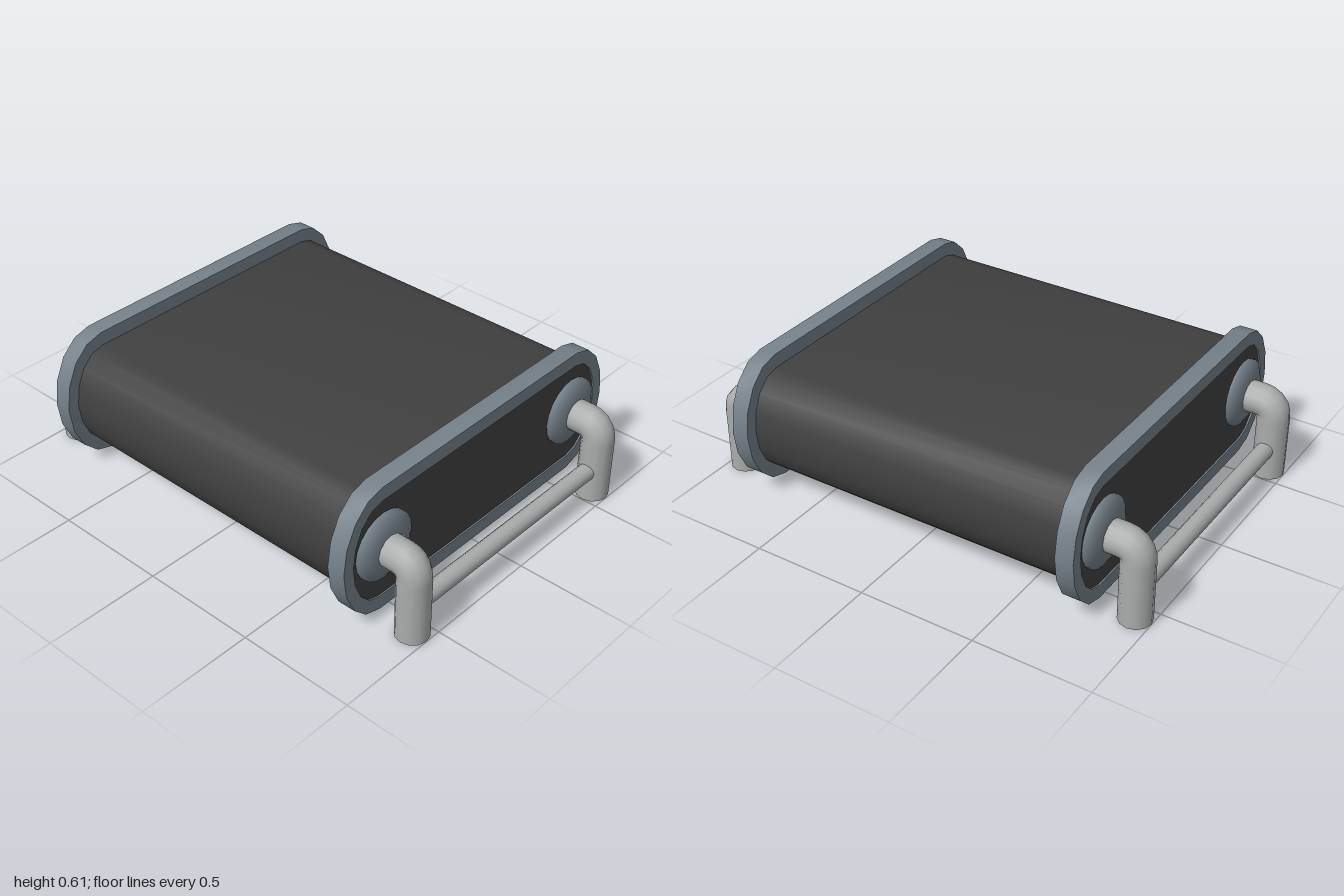
import * as THREE from 'three';
import { toCreasedNormals } from 'three/addons/utils/BufferGeometryUtils.js';

const CENTER_Y = 0.3225;

// Flat-topped oval: straight top and bottom with elliptical ends
function ovalPoints(halfWidth, halfHeight, straight = 0.585, steps = 8) {
  const points = [];
  for (const side of [1, -1]) {
    for (let i = 0; i <= steps; i++) {
      const a = -Math.PI / 2 + (Math.PI * i) / steps;
      points.push(new THREE.Vector2(
        side * (straight + (halfWidth - straight) * Math.cos(a)),
        CENTER_Y + side * halfHeight * Math.sin(a)));
    }
  }
  return points;
}

function extrudeOval(shape, z0, z1) {
  const geometry = new THREE.ExtrudeGeometry(shape, { depth: z1 - z0, bevelEnabled: false });
  geometry.translate(0, 0, z0);
  return toCreasedNormals(geometry, Math.PI / 4);
}

export function createModel() {
  const model = new THREE.Group();
  model.name = 'tank';
  const shell = new THREE.MeshStandardMaterial({ name: 'dark shell', color: 0x404040 });
  const steel = new THREE.MeshStandardMaterial({ name: 'blue grey steel', color: 0x75818a });
  const pipe = new THREE.MeshStandardMaterial({ name: 'light pipe', color: 0xabadad, side: THREE.DoubleSide });

  const add = (parent, name, geometry, material) => {
    const mesh = new THREE.Mesh(geometry, material);
    mesh.name = name;
    parent.add(mesh);
    return mesh;
  };

  // Body, including the end panels just inside the rims
  const bodyShape = new THREE.Shape(ovalPoints(0.735, 0.2225));
  add(model, 'body', extrudeOval(bodyShape, -0.78, 0.78), shell);

  // Rim ring
  const rimShape = new THREE.Shape(ovalPoints(0.785, 0.2825));
  rimShape.holes.push(new THREE.Path(ovalPoints(0.734, 0.2215).reverse()));
  const rimGeometry = extrudeOval(rimShape, 0.71, 0.787);

  // Domed flange around each pipe
  const flangeGeometry = new THREE.LatheGeometry(
    [[0.145, 0.775], [0.145, 0.795], [0.105, 0.818], [0.05, 0.822], [0, 0.822]]
      .map(([r, h]) => new THREE.Vector2(r, h)), 20);
  flangeGeometry.rotateX(Math.PI / 2);

  // Elbow pipe: out of the panel, then down to the ground
  const path = new THREE.CurvePath();
  const v = (y, z) => new THREE.Vector3(0, y, z);
  path.add(new THREE.LineCurve3(v(0.332, 0.78), v(0.332, 0.868)));
  path.add(new THREE.QuadraticBezierCurve3(v(0.332, 0.868), v(0.332, 0.932), v(0.268, 0.932)));
  path.add(new THREE.LineCurve3(v(0.268, 0.932), v(0, 0.932)));
  const pipeGeometry = new THREE.TubeGeometry(path, 24, 0.068, 12);

  // Cross rod between the two pipes
  const rodGeometry = new THREE.CylinderGeometry(0.037, 0.037, 1.14, 12, 1, true);
  rodGeometry.rotateZ(Math.PI / 2);

  // The two ends match
  for (const [name, turn] of [['frontEnd', 0], ['backEnd', Math.PI]]) {
    const end = new THREE.Group();
    end.name = name;
    end.rotation.y = turn;
    add(end, 'rim', rimGeometry, steel);
    for (const x of [-0.57, 0.57]) {
      add(end, 'flange', flangeGeometry, steel).position.set(x, 0.335, 0);
      add(end, 'elbowPipe', pipeGeometry, pipe).position.x = x;
    }
    add(end, 'crossRod', rodGeometry, pipe).position.set(0, 0.135, 0.932);
    model.add(end);
  }
  return model;
}
